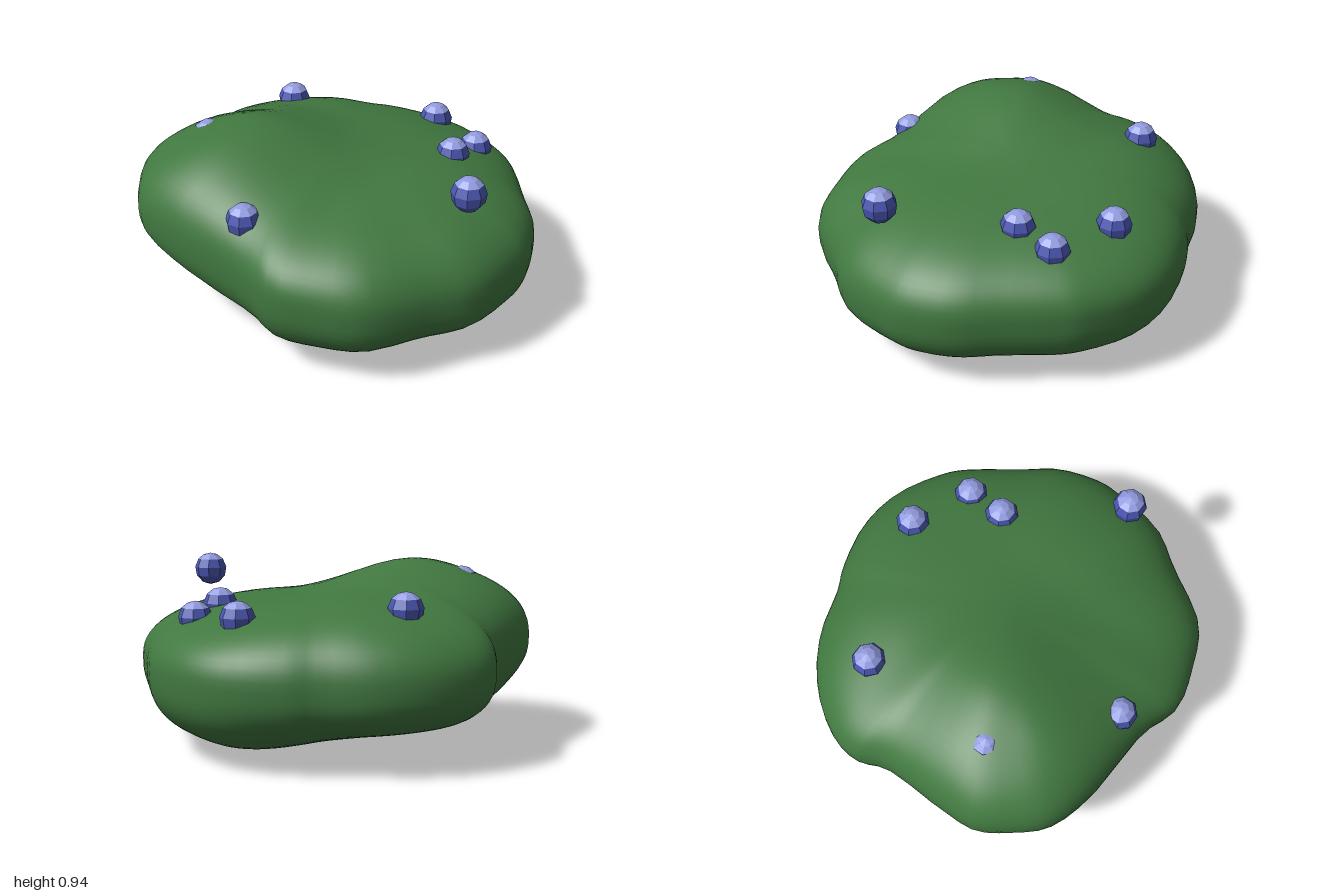
import * as THREE from 'three';
import { mergeVertices } from 'three/addons/utils/BufferGeometryUtils.js';

const leafGreen = new THREE.MeshStandardMaterial({ color: 0x417840 });
leafGreen.name = 'leaf green';
const berryBlue = new THREE.MeshStandardMaterial({ color: 0x4a56b0, flatShading: true });
berryBlue.name = 'berry blue';
const berryPale = new THREE.MeshStandardMaterial({ color: 0x929ce0, flatShading: true });
berryPale.name = 'pale berry blue';

const { smoothstep } = THREE.MathUtils;

// Plan outline of the bush as x, z pairs: right side, front, left side, back
const OUTLINE = [
  [-1, -0.21], [-0.95, -0.07], [-0.96, 0.29], [-0.95, 0.49], [-0.85, 0.65],
  [-0.73, 0.775], [-0.5, 0.85], [-0.03, 0.885], [0.17, 0.95], [0.39, 0.9],
  [0.61, 0.8], [0.8, 0.53], [0.94, 0.33], [0.99, 0.04], [0.99, -0.07],
  [0.92, -0.29], [0.79, -0.465], [0.6, -0.72], [0.51, -0.8], [0.27, -0.93],
  [0.03, -0.96], [-0.23, -0.9], [-0.355, -0.84], [-0.6, -0.76], [-0.83, -0.59],
  [-0.98, -0.36],
];

// Height of the widest line, and of the crown and underside away from it
const rimHeight = (x, z) => 0.45 - 0.05 * x + 0.02 * z - 0.08 * x * z;
const crownHeight = (x, z) =>
  0.78 + smoothstep(-x, -0.3, 0.5) * (0.07 + 0.14 * smoothstep(z, -0.3, 0.3));
const baseHeight = (x, z) =>
  0.005 + 0.095 * smoothstep(-x, -0.2, 0.5)
  + 0.12 * smoothstep(-x, 0.1, 0.8) * smoothstep(z, 0.1, 0.7)
  + 0.015 * (1 - Math.cos(7 * z)) * 0.5;

// Sphere reshaped so each ring follows the outline and bulges to crown and base
function bushGeometry() {
  const around = 72, rows = 40;
  const curve = new THREE.CatmullRomCurve3(
    OUTLINE.map(([x, z]) => new THREE.Vector3(x, 0, z)), true);
  const geometry = new THREE.SphereGeometry(1, around, rows);
  const position = geometry.attributes.position;
  for (let row = 0; row <= rows; row++) {
    const angle = Math.PI * row / rows;
    const upper = row <= rows / 2;
    const power = upper ? 2 / 2.3 : 2 / 2.7;
    const spread = row === rows ? 0 : Math.pow(Math.sin(angle), power);
    const rise = Math.pow(Math.abs(Math.cos(angle)), power);
    for (let i = 0; i <= around; i++) {
      const p = curve.getPoint((i % around) / around).multiplyScalar(spread);
      const rim = rimHeight(p.x, p.z);
      const end = upper ? crownHeight(p.x, p.z) : baseHeight(p.x, p.z);
      position.setXYZ(row * (around + 1) + i, p.x, rim + (end - rim) * rise, p.z);
    }
  }
  geometry.deleteAttribute('uv');
  geometry.deleteAttribute('normal');
  const smooth = mergeVertices(geometry);
  smooth.computeVertexNormals();
  return smooth;
}

// Berry centres
const BERRIES = [
  [0.79, 0.84, 0.2], [0.42, 0.725, -0.33], [0.44, 0.68, -0.54],
  [0.125, 0.715, -0.68], [-0.61, 0.765, -0.39], [-0.63, 0.82, 0.33],
  [-0.1, 0.685, 0.75],
];

export function createModel() {
  const model = new THREE.Group();
  model.name = 'berryBush';

  const foliage = new THREE.Mesh(bushGeometry(), leafGreen);
  foliage.name = 'foliage';
  model.add(foliage);

  // Faceted berries with a pale cap
  const radius = 0.087, capAngle = 0.9;
  const turn = Math.PI * 2;
  const capGeometry = new THREE.SphereGeometry(radius, 8, 2, 0, turn, 0, capAngle);
  const bodyGeometry = new THREE.SphereGeometry(radius, 8, 4, 0, turn, capAngle, Math.PI - capAngle);
  BERRIES.forEach(([x, y, z], i) => {
    const berry = new THREE.Group();
    berry.name = `berry${i + 1}`;
    const body = new THREE.Mesh(bodyGeometry, berryBlue);
    body.name = 'berryBody';
    const cap = new THREE.Mesh(capGeometry, berryPale);
    cap.name = 'berryCap';
    berry.add(body, cap);
    berry.position.set(x, y, z);
    berry.rotation.y = Math.PI / 8;
    model.add(berry);
  });
  return model;
}
